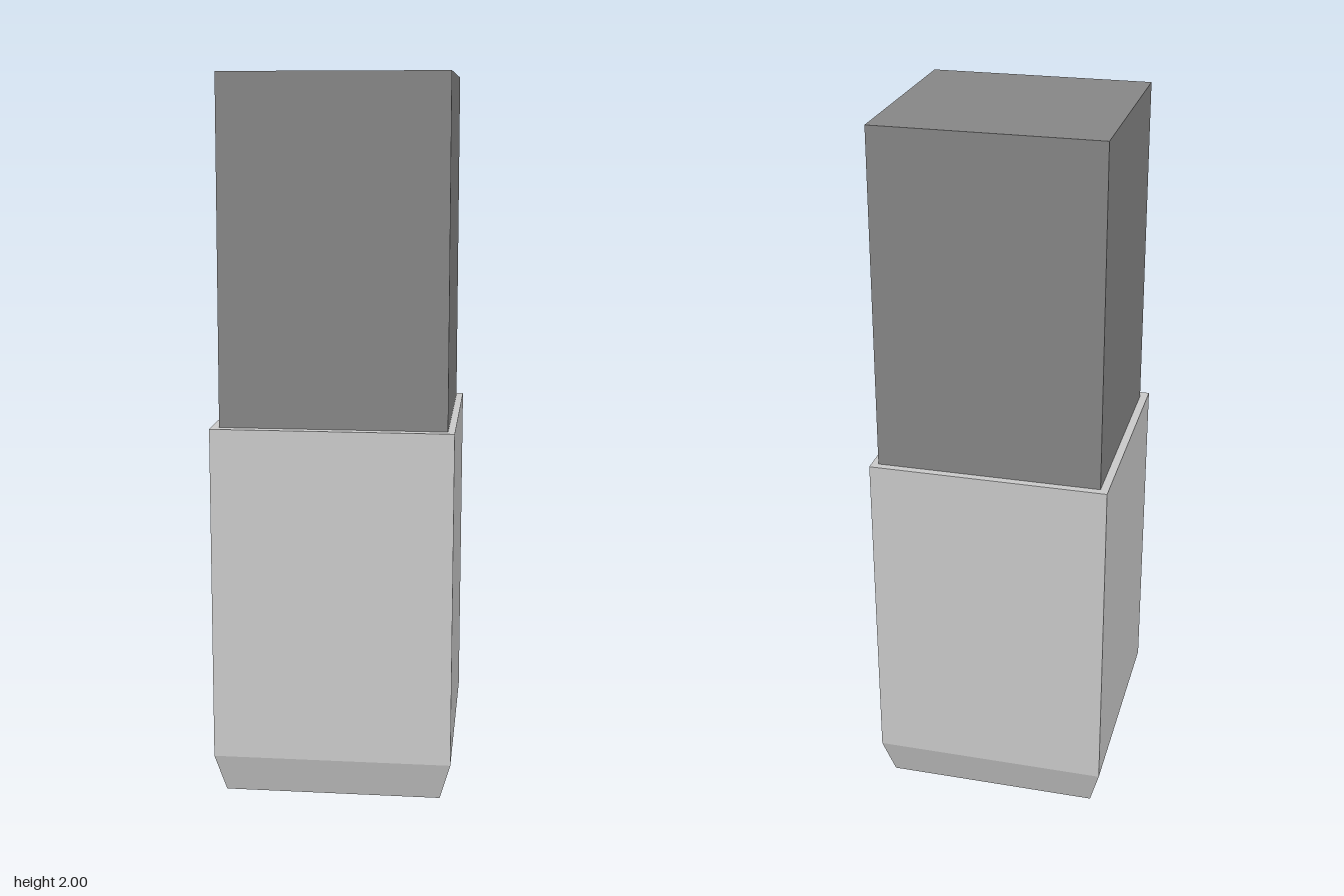
import * as THREE from 'three';

// Square block whose bottom face is scaled relative to its top face
function taperedBlock(name, [w, h, d], bottomScale, [x, y, z], color) {
  const geometry = new THREE.BoxGeometry(w, h, d);
  const p = geometry.attributes.position;
  for (let i = 0; i < p.count; i++) {
    if (p.getY(i) < 0) {
      p.setX(i, p.getX(i) * bottomScale);
      p.setZ(i, p.getZ(i) * bottomScale);
    }
  }
  geometry.translate(x, y + h / 2, z);
  geometry.computeVertexNormals();
  const mesh = new THREE.Mesh(
    geometry,
    new THREE.MeshStandardMaterial({ color, flatShading: true })
  );
  mesh.name = name;
  return mesh;
}

export function createModel() {
  const model = new THREE.Group();
  model.name = 'cappedBlock';

  // Lower body: straight sleeve above a chamfered foot
  const chamfer = 0.11;
  const shoulder = 1.05;
  const body = new THREE.Group();
  body.name = 'body';
  const sleeve = taperedBlock('sleeve', [0.666, shoulder - chamfer, 0.666], 1, [0, chamfer, 0], 0xcccccc);
  const foot = taperedBlock('chamferedFoot', [0.666, chamfer, 0.666], 0.91, [0, 0, 0], 0xcccccc);
  body.add(sleeve, foot);

  // Dark upper block, very slightly narrower at the top and a touch off centre
  const cap = taperedBlock('upperBlock', [0.621, 2 - shoulder, 0.611], 1.006, [0.0015, shoulder, -0.0035], 0x878787);

  model.add(body, cap);
  return model;
}
